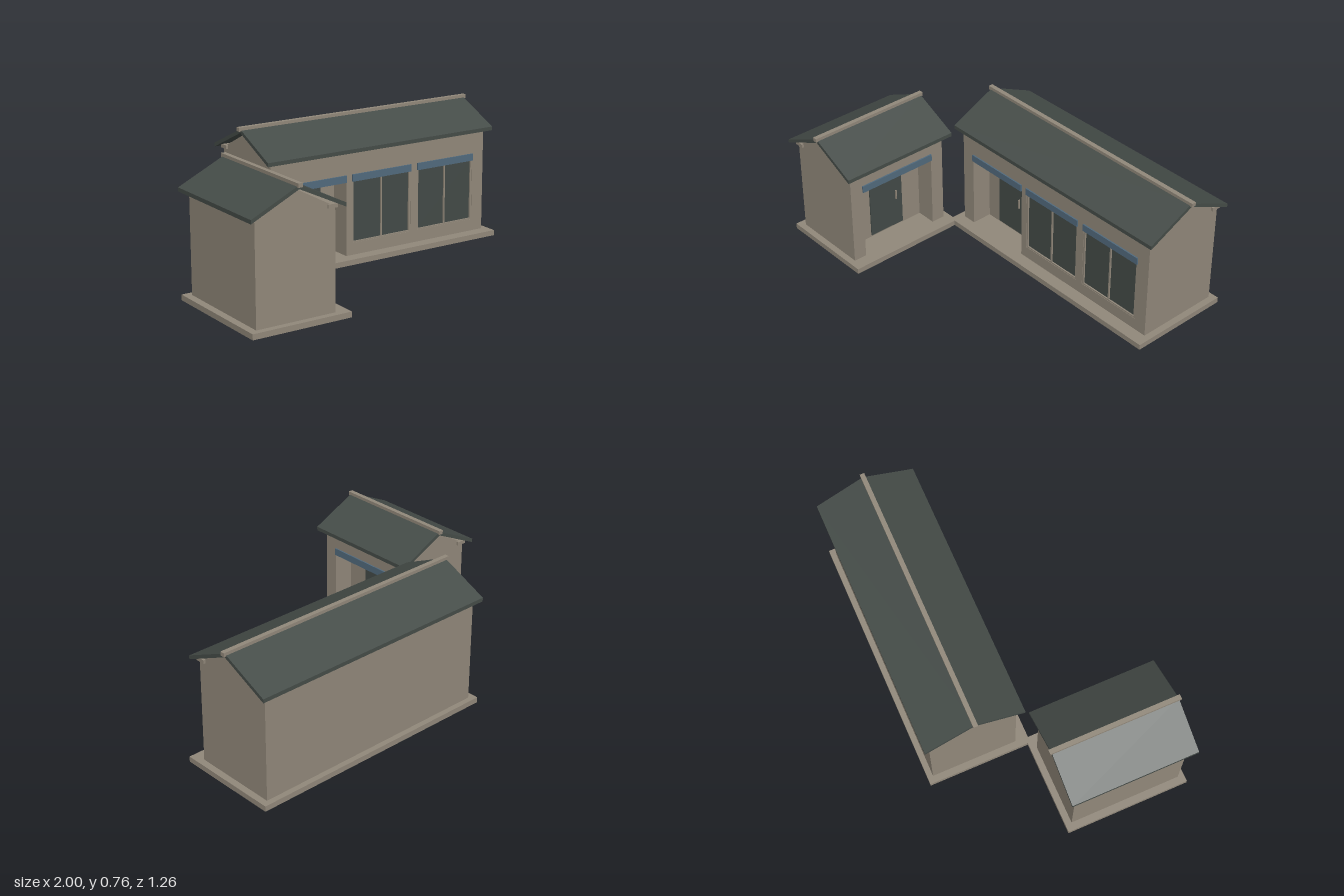
import * as THREE from 'three';

const mat = (name, color) => Object.assign(new THREE.MeshStandardMaterial({ color }), { name });

export function createModel() {
  const stone = mat('warm stone', 0x91887a);
  const slate = mat('dark slate', 0x454c48);
  const panel = mat('dark glazing', 0x434a47);
  const blue = mat('blue awning', 0x516a7d);

  const FLOOR = 0.03, RECESS = 0.115, HEAD = 0.45;

  // box given by its min and max corners
  function box(parent, name, material, x0, x1, y0, y1, z0, z1) {
    const m = new THREE.Mesh(new THREE.BoxGeometry(x1 - x0, y1 - y0, z1 - z0), material);
    m.position.set((x0 + x1) / 2, (y0 + y1) / 2, (z0 + z1) / 2);
    m.name = name;
    parent.add(m);
    return m;
  }

  // z-y profile extruded along x, centred
  function prism(parent, name, material, points, halfLength) {
    const shape = new THREE.Shape(points.map(p => new THREE.Vector2(...p)));
    const g = new THREE.ExtrudeGeometry(shape, { depth: halfLength * 2, bevelEnabled: false });
    g.translate(0, 0, -halfLength).rotateY(Math.PI / 2);
    const m = new THREE.Mesh(g, material);
    m.name = name;
    parent.add(m);
  }

  function awning(b, x0, x1, front) {
    box(b, 'awning', blue, x0, x1, 0.437, 0.476, front - 0.02, front + 0.008);
  }

  // gabled building facing +z with its ridge along x
  function building(name, o) {
    const b = new THREE.Group();
    b.name = name;
    const { hx, hz, top, porch, door, windows } = o;

    box(b, 'plinth', stone, -o.baseX, o.baseX, 0, FLOOR, o.baseBack, o.baseFront);
    box(b, 'body', stone, -hx, hx, FLOOR, top, -hz, hz - RECESS);

    // front wall with an open porch and window holes
    const wall = new THREE.Shape();
    [[-hx, FLOOR], [porch[0], FLOOR], [porch[0], HEAD], [porch[1], HEAD], [porch[1], FLOOR],
      [hx, FLOOR], [hx, top], [-hx, top]].forEach(([x, y], i) => i ? wall.lineTo(x, y) : wall.moveTo(x, y));
    for (const [x0, x1] of windows) {
      const hole = new THREE.Path();
      hole.moveTo(x0, 0.096).lineTo(x0, HEAD).lineTo(x1, HEAD).lineTo(x1, 0.096).closePath();
      wall.holes.push(hole);
    }
    const front = new THREE.Mesh(new THREE.ExtrudeGeometry(wall, { depth: RECESS, bevelEnabled: false }), stone);
    front.position.z = hz - RECESS;
    front.name = 'frontWall';
    b.add(front);

    // door at the back of the porch
    const back = hz - RECESS;
    box(b, 'door', panel, door[0], door[1], 0.04, 0.44, back - 0.002, back + 0.006);
    const hX = door[1] - 0.043;
    box(b, 'doorHandle', stone, hX - 0.003, hX + 0.003, 0.207, 0.262, back + 0.004, back + 0.016);
    awning(b, porch[0], porch[1], hz);

    // windows: glass, frame bars and mullion
    for (const [x0, x1] of windows) {
      const t = 0.011, z0 = hz - 0.02, z1 = hz - 0.002, mid = (x0 + x1) / 2;
      box(b, 'windowGlass', panel, x0, x1, 0.096, HEAD, hz - 0.02, hz - 0.01);
      box(b, 'windowFrameLeft', stone, x0, x0 + t, 0.096, HEAD, z0, z1);
      box(b, 'windowFrameRight', stone, x1 - t, x1, 0.096, HEAD, z0, z1);
      box(b, 'windowSill', stone, x0 + t, x1 - t, 0.096, 0.104, z0, z1);
      box(b, 'windowMullion', stone, mid - 0.004, mid + 0.004, 0.104, HEAD, z0, z1);
      awning(b, x0, x1, hz);
    }

    // gable, eave beams, roof and ridge
    prism(b, 'gable', stone, [[-hz, top], [hz, top], [0, top + 0.12]], hx);
    for (const s of [-1, 1]) {
      const a = s * (hz - 0.045), c = s * (hz + 0.008);
      box(b, 'eaveBeam', stone, -hx - 0.012, hx + 0.012, top - 0.003, top + 0.017, Math.min(a, c), Math.max(a, c));
    }
    const r = o.roofZ;
    prism(b, 'roof', slate, [[-r, top], [0, top + 0.126], [r, top], [r, top + 0.021],
      [0, top + 0.146], [-r, top + 0.021]], o.roofX);
    box(b, 'ridgeCap', stone, -o.ridgeX, o.ridgeX, top + 0.136, top + 0.157, -0.0125, 0.0125);
    return b;
  }

  const model = new THREE.Group();
  model.name = 'twinShopBuildings';

  const main = building('longBuilding', {
    hx: 0.6925, hz: 0.2375, top: 0.6, baseX: 0.729, baseBack: -0.268, baseFront: 0.308,
    roofX: 0.729, roofZ: 0.271, ridgeX: 0.743,
    porch: [-0.6145, -0.2275], door: [-0.5245, -0.3185],
    windows: [[-0.1905, 0.1945], [0.2365, 0.6185]],
  });
  main.position.set(0.2545, 0, -0.358);

  const side = building('smallBuilding', {
    hx: 0.3075, hz: 0.2225, top: 0.56, baseX: 0.3425, baseBack: -0.2625, baseFront: 0.2945,
    roofX: 0.3445, roofZ: 0.2625, ridgeX: 0.355,
    porch: [-0.2325, 0.2305], door: [-0.1075, 0.1075], windows: [],
  });
  side.position.set(-0.7375, 0, 0.2775);
  side.rotation.y = Math.PI / 2;

  model.add(main, side);
  return model;
}
